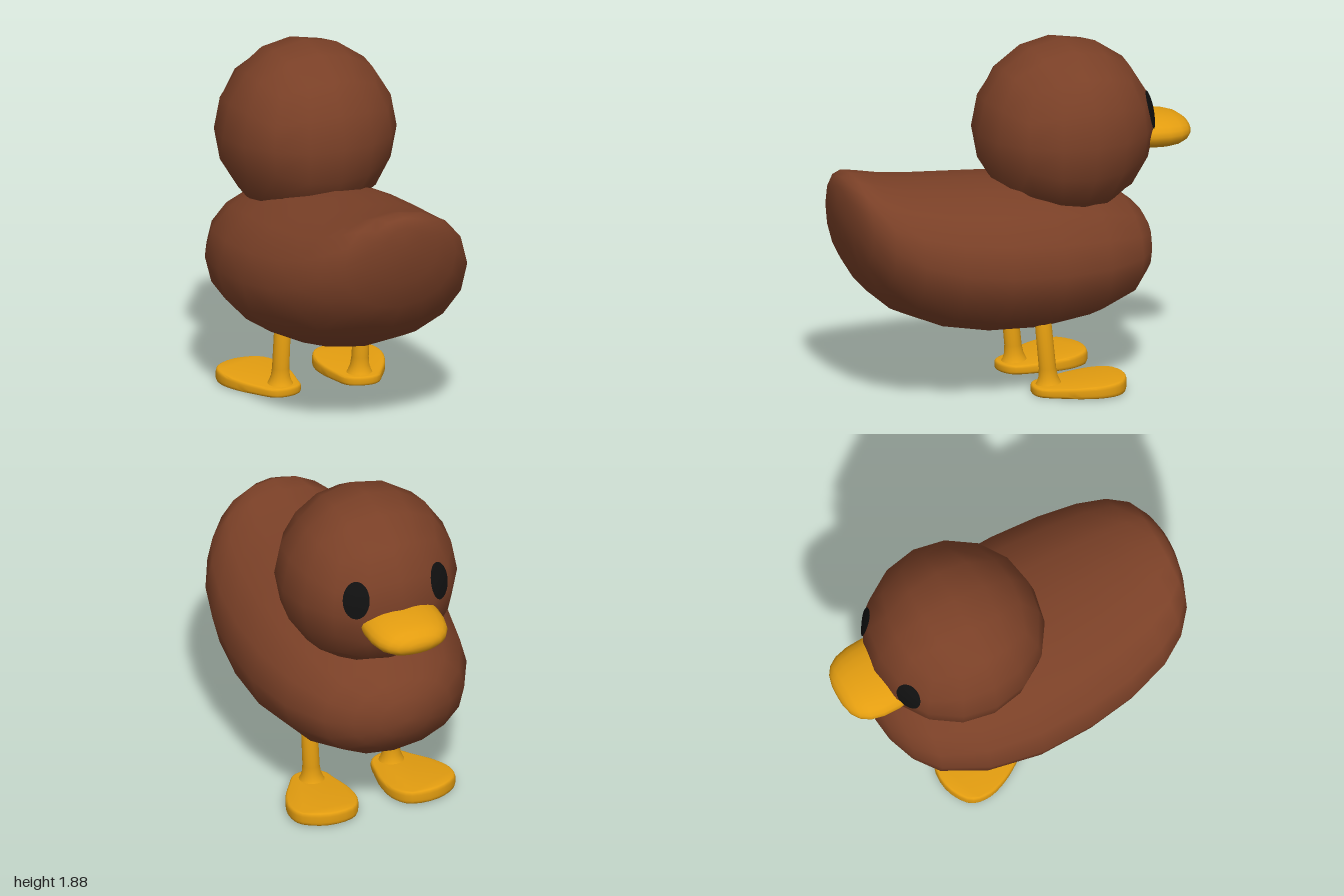
import * as THREE from 'three';
import { mergeVertices, toCreasedNormals } from 'three/addons/utils/BufferGeometryUtils.js';

const brown = new THREE.MeshStandardMaterial({ name: 'brown feathers', color: 0x7a4027 });
const orange = new THREE.MeshStandardMaterial({ name: 'orange', color: 0xe39d10 });
const black = new THREE.MeshStandardMaterial({ name: 'black', color: 0x111111 });

const MID_X = 0.024; // head and legs sit slightly off the body axis
const HEAD = new THREE.Vector3(MID_X, 1.395, -0.295);
const HEAD_R = 0.485;

function mesh(name, geometry, material) {
  const m = new THREE.Mesh(geometry, material);
  m.name = name;
  return m;
}

// Smooth skin over rounded sections [z, bottom, top, half width], ordered from +z to -z
function loft(sections, sides, power = 1) {
  const pos = [], index = [];
  const bend = (v) => Math.sign(v) * Math.abs(v) ** power;
  sections.forEach(([z, bottom, top, half], i) => {
    for (let j = 0; j < sides; j++) {
      const a = (j / sides) * Math.PI * 2;
      pos.push(half * bend(Math.cos(a)), (bottom + top) / 2 + ((top - bottom) / 2) * bend(Math.sin(a)), z);
      if (i === sections.length - 1) continue;
      const k = i * sides + j, n = i * sides + ((j + 1) % sides);
      index.push(k, k + sides, n, n, k + sides, n + sides);
    }
  });
  const g = new THREE.BufferGeometry();
  g.setAttribute('position', new THREE.Float32BufferAttribute(pos, 3));
  g.setIndex(index);
  const welded = mergeVertices(g, 1e-4);
  welded.computeVertexNormals();
  return welded;
}

function makeBody() {
  return mesh('body', loft([
    [0.995, 1.1, 1.1, 0],
    [0.985, 0.99, 1.2, 0.11],
    [0.965, 0.89, 1.25, 0.21],
    [0.92, 0.745, 1.27, 0.33],
    [0.83, 0.61, 1.25, 0.43],
    [0.69, 0.49, 1.217, 0.505],
    [0.48, 0.4, 1.188, 0.56],
    [0.22, 0.348, 1.165, 0.59],
    [-0.08, 0.333, 1.14, 0.59],
    [-0.37, 0.363, 1.09, 0.53],
    [-0.6, 0.44, 1.01, 0.41],
    [-0.7, 0.53, 0.93, 0.285],
    [-0.755, 0.62, 0.85, 0.15],
    [-0.782, 0.73, 0.73, 0],
  ], 16, 0.96), brown);
}

// Ball made from an inflated, evenly divided box
function makeHead() {
  let g = new THREE.BoxGeometry(2, 2, 2, 4, 4, 4);
  g.deleteAttribute('uv');
  g.deleteAttribute('normal');
  g = mergeVertices(g);
  const p = g.attributes.position, v = new THREE.Vector3();
  const even = (t) => Math.tan((t * Math.PI) / 4);
  for (let i = 0; i < p.count; i++) {
    v.fromBufferAttribute(p, i);
    v.set(even(v.x), even(v.y), even(v.z)).setLength(HEAD_R);
    p.setXYZ(i, v.x, v.y, v.z);
  }
  g.computeVertexNormals();
  const head = mesh('head', g, brown);
  head.position.copy(HEAD);
  return head;
}

function makeBeak() {
  const beak = mesh('beak', loft([
    [-0.6, 1.25, 1.42, 0.2],
    [-0.74, 1.235, 1.425, 0.22],
    [-0.83, 1.23, 1.418, 0.217],
    [-0.9, 1.235, 1.407, 0.2],
    [-0.95, 1.25, 1.392, 0.168],
    [-0.98, 1.27, 1.37, 0.125],
    [-0.995, 1.295, 1.345, 0.07],
    [-1.0, 1.32, 1.32, 0],
  ], 24, 0.95), orange);
  beak.position.x = MID_X;
  return beak;
}

// Oval patch curved to follow the head
function makeEye(side) {
  const g = new THREE.RingGeometry(0, 1, 28, 4);
  const p = g.attributes.position, r = HEAD_R + 0.006;
  for (let i = 0; i < p.count; i++) {
    const x = p.getX(i) * 0.072, y = p.getY(i) * 0.106;
    p.setXYZ(i, x, y, Math.sqrt(r * r - x * x - y * y));
  }
  g.computeVertexNormals();
  const eye = mesh(side > 0 ? 'leftEye' : 'rightEye', g, black);
  eye.position.copy(HEAD);
  eye.lookAt(HEAD.x + side * 0.243, HEAD.y + 0.105, HEAD.z - 0.408);
  return eye;
}

function makeLeg(side) {
  const leg = new THREE.Group();
  leg.name = side > 0 ? 'leftLeg' : 'rightLeg';

  // Shin flares into the foot and leans slightly
  const profile = [[0.085, 0.035], [0.064, 0.06], [0.051, 0.095], [0.046, 0.14], [0.044, 0.43], [0, 0.43]];
  const shinGeo = new THREE.LatheGeometry(profile.map(([x, y]) => new THREE.Vector2(x, y)), 18);
  const s = shinGeo.attributes.position;
  for (let i = 0; i < s.count; i++) s.setZ(i, s.getZ(i) + 0.1 * (s.getY(i) - 0.08));
  leg.add(mesh('shin', shinGeo, orange));

  // Webbed foot: flat outline, thicker toward the toe
  const half = [[0.075, -0.06], [0.12, 0.03], [0.165, 0.15], [0.178, 0.27], [0.14, 0.36]];
  const outline = [[0, -0.082], ...half, [0, 0.405], ...half.slice().reverse().map(([x, y]) => [-x, y])];
  const curve = new THREE.CatmullRomCurve3(outline.map(([x, y]) => new THREE.Vector3(x, y, 0)), true);
  const shape = new THREE.Shape(curve.getPoints(40).slice(0, -1).map((v) => new THREE.Vector2(v.x, v.y)));
  const footGeo = new THREE.ExtrudeGeometry(shape, {
    depth: 0.02, bevelThickness: 0.014, bevelSize: 0.012, bevelSegments: 3,
  });
  footGeo.translate(0, 0, 0.014).rotateX(-Math.PI / 2);
  const f = footGeo.attributes.position;
  for (let i = 0; i < f.count; i++) {
    const forward = -f.getZ(i);
    f.setY(i, f.getY(i) * (1.05 + 1.1 * Math.max(forward, 0) / 0.42 * 0.55) + 0.02 * Math.max(forward, 0));
  }
  const foot = mesh('foot', toCreasedNormals(footGeo, 0.9), orange);
  foot.rotation.y = -side * 0.2;
  leg.add(foot);

  leg.position.set(MID_X + side * 0.233, 0, -0.115);
  return leg;
}

export function createModel() {
  const model = new THREE.Group();
  model.name = 'duckling';
  model.add(makeBody(), makeHead(), makeBeak());
  for (const side of [1, -1]) model.add(makeEye(side), makeLeg(side));
  return model;
}
